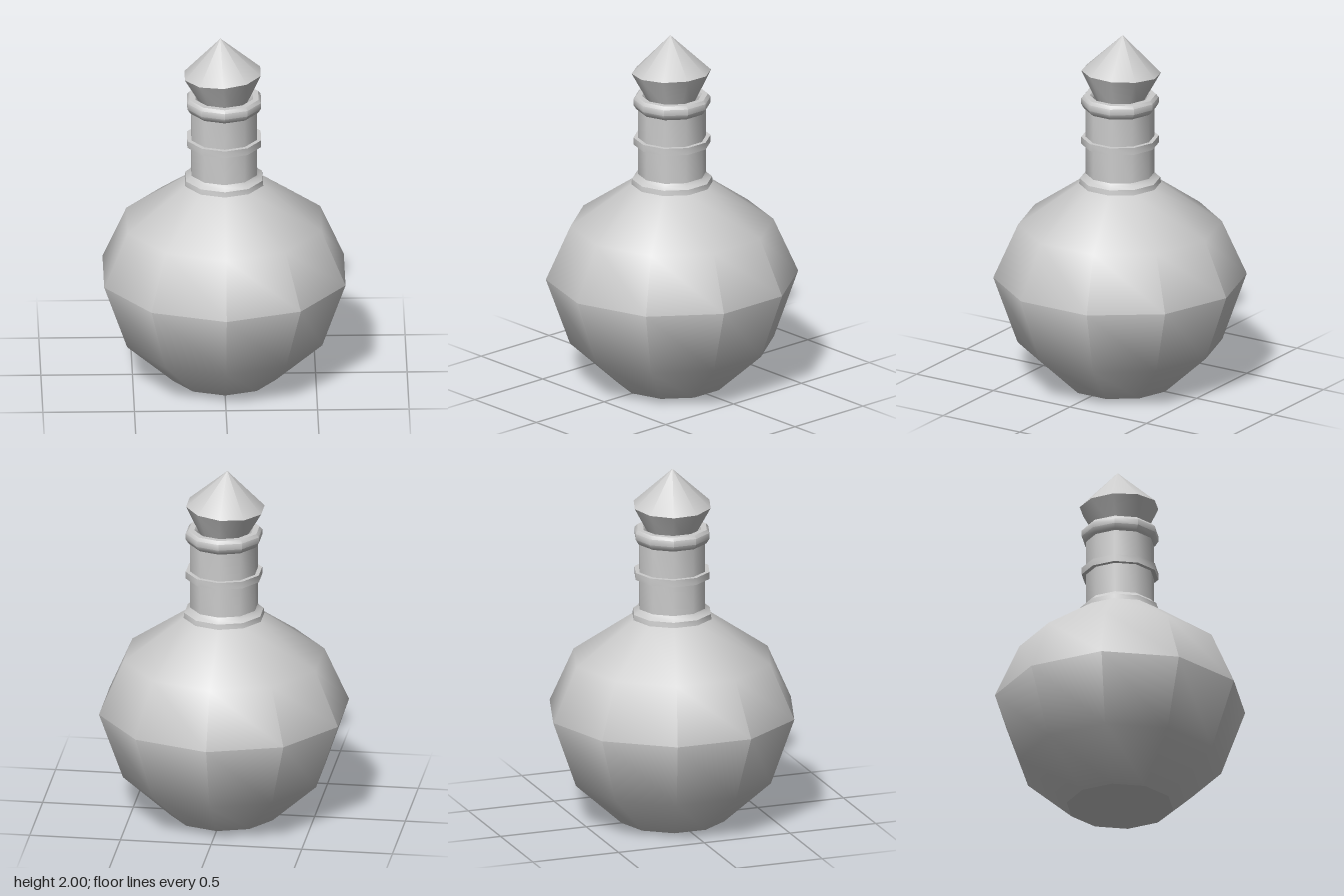
import * as THREE from 'three';
import { toCreasedNormals } from 'three/addons/utils/BufferGeometryUtils.js';

const SIDES = 10;

// Ten-sided turned part from [radius, height] pairs, listed so the outside runs upward
function turned(name, profile, material) {
  const points = profile.map(([r, y]) => new THREE.Vector2(r, y));
  const geometry = toCreasedNormals(new THREE.LatheGeometry(points, SIDES), 0.75);
  const mesh = new THREE.Mesh(geometry, material);
  mesh.name = name;
  return mesh;
}

export function createModel() {
  const glass = new THREE.MeshStandardMaterial({ color: 0xcccccc, side: THREE.DoubleSide });
  const bottle = new THREE.Group();
  bottle.name = 'bottle';

  // Round belly with a flat foot
  bottle.add(turned('body', [
    [0, 0], [0.295, 0], [0.56, 0.24], [0.693, 0.615], [0.557, 0.92], [0.222, 1.152], [0.18, 1.18],
  ], glass));

  // Stepped collar where the neck meets the shoulder
  bottle.add(turned('collar', [
    [0.185, 1.15], [0.224, 1.15], [0.22, 1.18], [0.197, 1.197], [0.187, 1.21],
  ], glass));

  // Straight neck
  bottle.add(turned('neck', [[0.188, 1.16], [0.188, 1.6]], glass));

  // Thin ring halfway up the neck
  bottle.add(turned('neckBand', [
    [0.185, 1.38], [0.212, 1.38], [0.212, 1.42], [0.185, 1.42],
  ], glass));

  // Rounded lip, turning down into the mouth
  bottle.add(turned('lip', [
    [0.185, 1.575], [0.197, 1.585], [0.212, 1.61], [0.212, 1.643], [0.197, 1.66],
    [0.165, 1.66], [0.15, 1.643], [0.15, 1.56], [0, 1.56],
  ], glass));

  // Faceted stopper, sitting slightly askew in the mouth
  const stopper = turned('stopper', [
    [0, -0.05], [0.117, -0.05], [0.218, 0.142], [0, 0.35],
  ], glass);
  stopper.position.set(0, 1.65, 0);
  stopper.rotation.set(-0.015, 0, 0.055);
  bottle.add(stopper);

  return bottle;
}
